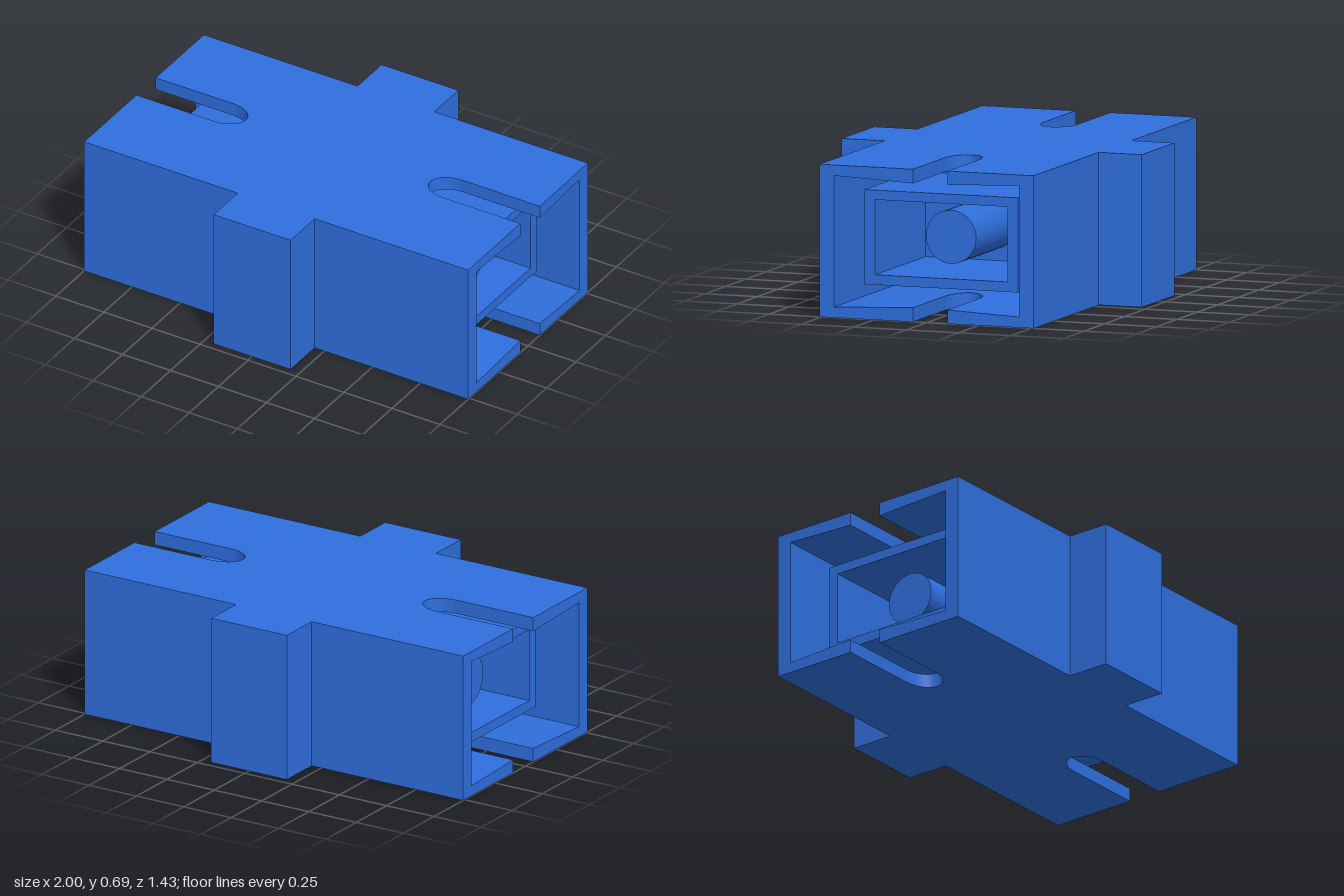
import * as THREE from 'three';

const H = 0.685;       // body height
const HALF_Z = 0.51;   // half body width
const FLANGE_Z = 0.715;
const CORE_X = 0.2;    // half length of flange and solid core
const CAVITY_Z = 0.44;
const SKIN = 0.045;    // plate thickness at the side walls

export function createModel() {
  const group = new THREE.Group();
  const material = new THREE.MeshStandardMaterial({ color: 0x2f6fde, flatShading: true });

  function add(name, geometry, x = 0, y = 0, z = 0) {
    const mesh = new THREE.Mesh(geometry, material);
    mesh.name = name;
    mesh.position.set(x, y, z);
    group.add(mesh);
  }

  // Cross-shaped plan with a round-ended key slot at each end
  const plan = new THREE.Shape();
  plan.moveTo(CORE_X, -HALF_Z);
  plan.lineTo(1, -HALF_Z);
  plan.lineTo(1, -0.065);
  plan.lineTo(0.6, -0.065);
  plan.absellipse(0.6, 0.0175, 0.12, 0.0825, -Math.PI / 2, Math.PI / 2, true);
  plan.lineTo(1, 0.1);
  plan.lineTo(1, HALF_Z);
  plan.lineTo(CORE_X, HALF_Z);
  plan.lineTo(CORE_X, FLANGE_Z);
  plan.lineTo(-CORE_X, FLANGE_Z);
  plan.lineTo(-CORE_X, HALF_Z);
  plan.lineTo(-1, HALF_Z);
  plan.lineTo(-1, 0.1);
  plan.lineTo(-0.6, 0.1);
  plan.absellipse(-0.6, 0.0175, 0.12, 0.0825, Math.PI / 2, -Math.PI / 2, true);
  plan.lineTo(-1, -0.065);
  plan.lineTo(-1, -HALF_Z);
  plan.lineTo(-CORE_X, -HALF_Z);
  plan.lineTo(-CORE_X, -FLANGE_Z);
  plan.lineTo(CORE_X, -FLANGE_Z);
  plan.closePath();

  // Top and bottom plates, slightly thicker toward the middle on the inner face
  function plate(isTop) {
    const geo = new THREE.ExtrudeGeometry(plan, { depth: SKIN, bevelEnabled: false, curveSegments: 24 });
    geo.rotateX(-Math.PI / 2);
    const p = geo.attributes.position;
    for (let i = 0; i < p.count; i++) {
      const upper = p.getY(i) > SKIN / 2;
      if (upper === isTop) continue;
      const swell = 0.022 * Math.max(0, 1 - Math.abs(p.getZ(i)) / CAVITY_Z);
      p.setY(i, p.getY(i) + (isTop ? -swell : swell));
    }
    geo.computeVertexNormals();
    return geo;
  }
  add('bottomPlate', plate(false));
  add('topPlate', plate(true), 0, H - SKIN, 0);

  // Solid middle with the two side flanges
  const innerH = H - 2 * SKIN;
  add('flangeCore', new THREE.BoxGeometry(2 * CORE_X, innerH, 2 * FLANGE_Z), 0, H / 2, 0);

  // Inner rectangular sleeve section
  const sleeve = new THREE.Shape();
  sleeve.moveTo(-0.365, 0.13);
  sleeve.lineTo(0.365, 0.13);
  sleeve.lineTo(0.365, 0.555);
  sleeve.lineTo(-0.365, 0.555);
  sleeve.closePath();
  const bore = new THREE.Path();
  bore.moveTo(-0.315, 0.175);
  bore.lineTo(-0.315, 0.512);
  bore.lineTo(0.315, 0.512);
  bore.lineTo(0.315, 0.175);
  bore.closePath();
  sleeve.holes.push(bore);

  const wallLength = 1 - CORE_X;
  const sleeveLength = 0.82 - CORE_X;
  for (const side of [1, -1]) {
    const end = side > 0 ? 'left' : 'right';

    // Side walls of each socket
    for (const face of [1, -1]) {
      add(`${end}${face > 0 ? 'Front' : 'Back'}Wall`,
        new THREE.BoxGeometry(wallLength, innerH, HALF_Z - CAVITY_Z),
        side * (CORE_X + wallLength / 2), H / 2, face * (HALF_Z + CAVITY_Z) / 2);
    }

    // Sleeve set back inside each socket
    const geo = new THREE.ExtrudeGeometry(sleeve, { depth: sleeveLength, bevelEnabled: false });
    geo.rotateY(Math.PI / 2);
    add(`${end}Sleeve`, geo, side > 0 ? CORE_X : -0.82, 0, 0);
  }

  // Round alignment post running through the core
  const post = new THREE.CylinderGeometry(0.12, 0.12, 1.4, 48);
  post.rotateZ(Math.PI / 2);
  add('alignmentPost', post, 0, 0.345, 0);

  return group;
}
